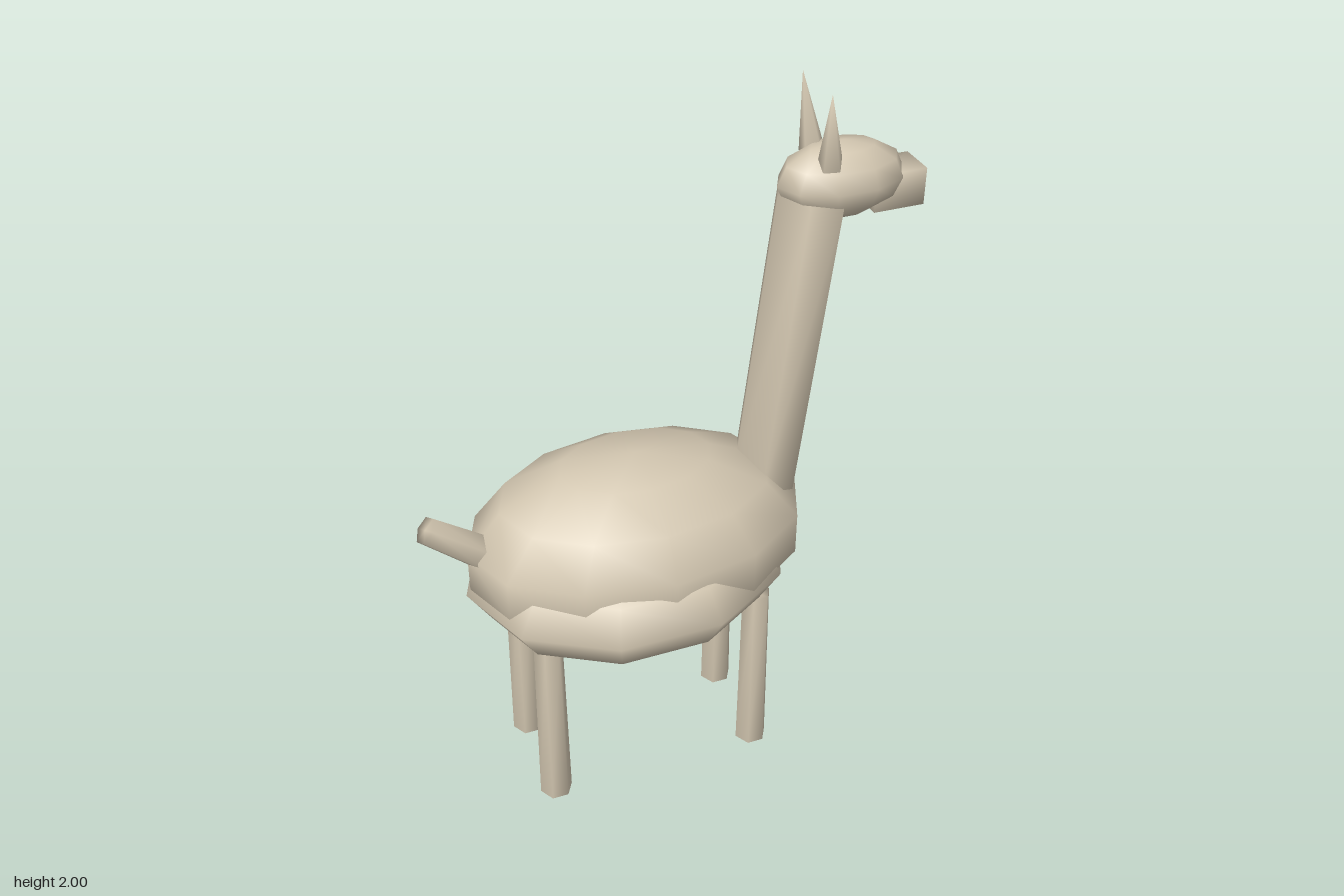
import * as THREE from 'three';
import { mergeVertices } from 'three/addons/utils/BufferGeometryUtils.js';

const wool = new THREE.MeshStandardMaterial({ color: 0xd2c6b0 });
wool.name = 'beige wool';

// Weld shared corners so that shading runs smoothly over the whole part
function smooth(geometry) {
  geometry.deleteAttribute('uv');
  geometry.deleteAttribute('normal');
  const welded = mergeVertices(geometry, 1e-4);
  welded.computeVertexNormals();
  return welded;
}

function part(name, geometry) {
  const mesh = new THREE.Mesh(smooth(geometry), wool);
  mesh.name = name;
  return mesh;
}

// Faceted ellipsoid with its poles up and down
function ellipsoid(name, center, radii, segments, rings) {
  const geometry = new THREE.SphereGeometry(1, segments, rings);
  geometry.scale(...radii).translate(...center);
  return part(name, geometry);
}

// Tapered prism between two points, with corners facing +x and -x
function limb(name, from, to, r0, r1, sides = 6, flatten = 1) {
  const a = new THREE.Vector3(...from);
  const b = new THREE.Vector3(...to);
  const axis = b.clone().sub(a);
  const geometry = new THREE.CylinderGeometry(r1, r0, axis.length(), sides);
  geometry.rotateY(Math.PI / 2).scale(flatten, 1, 1);
  geometry.applyQuaternion(
    new THREE.Quaternion().setFromUnitVectors(new THREE.Vector3(0, 1, 0), axis.normalize()));
  const mid = a.add(b).multiplyScalar(0.5);
  geometry.translate(mid.x, mid.y, mid.z);
  return part(name, geometry);
}

export function createModel() {
  const model = new THREE.Group();
  model.name = 'longNeckedAnimal';

  // Body: tall upper fleece over a wider, flatter belly
  model.add(ellipsoid('upperBody', [-0.085, 0.755, 0], [0.49, 0.28, 0.323], 12, 7));
  model.add(ellipsoid('belly', [-0.115, 0.68, 0], [0.46, 0.19, 0.373], 10, 6));

  // Neck leaning forward
  model.add(limb('neck', [0.294, 0.868, 0], [0.39, 1.705, 0], 0.11, 0.11, 6, 0.84));

  // Head and snout
  model.add(ellipsoid('head', [0.47, 1.74, 0], [0.175, 0.1, 0.108], 10, 6));
  const snout = new THREE.BoxGeometry(0.14, 0.1, 0.105);
  snout.translate(0.615, 1.7, 0);
  model.add(part('snout', snout));

  // Tail
  model.add(limb('tail', [-0.505, 0.805, 0], [-0.667, 0.932, 0], 0.052, 0.04));

  // Mirrored ears and legs
  for (const [side, s] of [['left', -1], ['right', 1]]) {
    model.add(limb(side + 'Ear', [0.412, 1.8, s * 0.053], [0.39, 2, s * 0.083], 0.034, 0, 5));
    model.add(limb(side + 'FrontLeg', [0.223, 0, s * 0.139], [0.223, 0.56, s * 0.137], 0.047, 0.041));
    model.add(limb(side + 'BackLeg', [-0.393, 0, s * 0.139], [-0.393, 0.56, s * 0.137], 0.047, 0.041));
  }
  return model;
}
